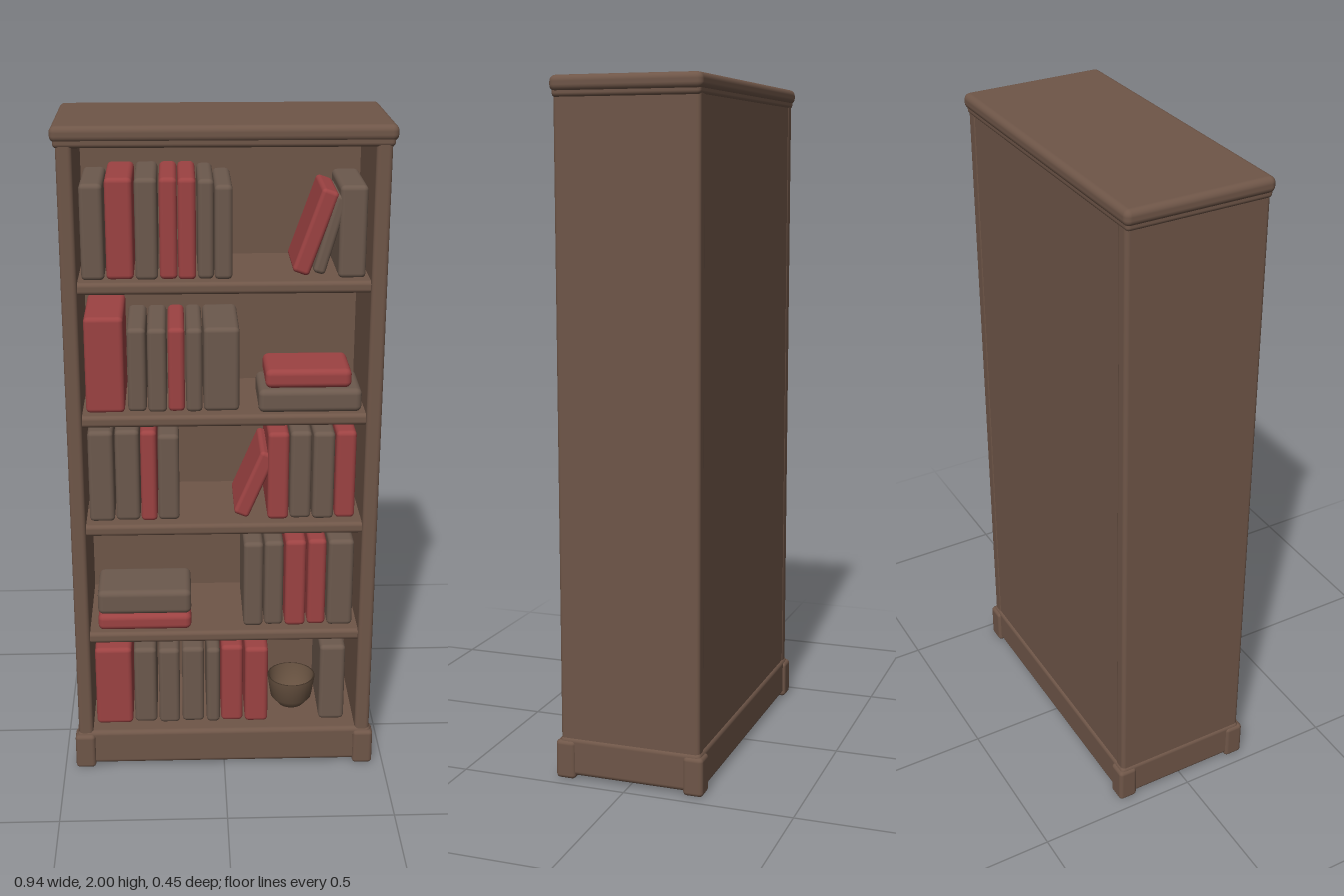
import * as THREE from 'three';
import { RoundedBoxGeometry } from 'three/addons/geometries/RoundedBoxGeometry.js';

export function createModel() {
  const wood = new THREE.MeshStandardMaterial({ color: 0x6f5648 });
  wood.name = 'brown wood';
  const brown = new THREE.MeshStandardMaterial({ color: 0x6c594d });
  brown.name = 'grey-brown cover';
  const red = new THREE.MeshStandardMaterial({ color: 0x9c4242 });
  red.name = 'red cover';
  const bowlMat = new THREE.MeshStandardMaterial({ color: 0x65503f, side: THREE.DoubleSide });
  bowlMat.name = 'bowl wood';

  const model = new THREE.Group();
  model.name = 'bookcase';

  // Soft-edged box given by its extents on each axis
  function block(parent, name, mat, [x0, x1], [y0, y1], [z0, z1], r = 0.01) {
    const w = x1 - x0, h = y1 - y0, d = z1 - z0;
    const radius = Math.min(r, Math.min(w, h, d) * 0.45);
    const mesh = new THREE.Mesh(new RoundedBoxGeometry(w, h, d, 3, radius), mat);
    mesh.position.set((x0 + x1) / 2, (y0 + y1) / 2, (z0 + z1) / 2);
    mesh.name = name;
    parent.add(mesh);
    return mesh;
  }

  // Carcass
  const carcass = new THREE.Group();
  carcass.name = 'carcass';
  model.add(carcass);
  for (const s of [-1, 1]) {
    const xs = s < 0 ? [-0.455, -0.41] : [0.41, 0.455];
    block(carcass, s < 0 ? 'rightSide' : 'leftSide', wood, xs, [0.02, 1.97], [-0.212, 0.212], 0.012);
  }
  block(carcass, 'backPanel', wood, [-0.44, 0.44], [0.03, 1.97], [-0.21, -0.13]);
  block(carcass, 'topMoulding', wood, [-0.462, 0.462], [1.94, 1.975], [-0.214, 0.214], 0.012);
  block(carcass, 'topBoard', wood, [-0.47, 0.47], [1.955, 2], [-0.221, 0.219], 0.018);

  // Plinth with slightly proud corner blocks
  block(carcass, 'plinth', wood, [-0.46, 0.46], [0.01, 0.125], [-0.217, 0.215], 0.014);
  for (const x of [-0.435, 0.435]) {
    for (const z of [-0.195, 0.195]) {
      block(carcass, 'cornerBlock', wood, [x - 0.031, x + 0.031], [0, 0.115], [z - 0.03, z + 0.03], 0.012);
    }
  }

  // Shelves
  for (const y of [0.43, 0.79, 1.135, 1.53]) {
    block(carcass, 'shelf', wood, [-0.42, 0.42], [y, y + 0.035], [-0.15, 0.2], 0.012);
  }

  // Upright books: shelf height, then [left, right, top, material]
  const books = new THREE.Group();
  books.name = 'books';
  model.add(books);
  const rows = [
    [1.562, [[-0.4, -0.335, 1.835, brown], [-0.33, -0.253, 1.85, red], [-0.248, -0.185, 1.85, brown],
      [-0.18, -0.13, 1.85, red], [-0.128, -0.078, 1.85, red], [-0.073, -0.028, 1.845, brown],
      [-0.026, 0.024, 1.83, brown], [0.322, 0.4, 1.825, brown]]],
    [1.167, [[-0.4, -0.287, 1.455, red], [-0.278, -0.224, 1.42, brown], [-0.22, -0.165, 1.42, brown],
      [-0.161, -0.113, 1.42, red], [-0.109, -0.062, 1.42, brown], [-0.058, 0.045, 1.42, brown]]],
    [0.822, [[-0.4, -0.325, 1.11, brown], [-0.321, -0.249, 1.11, brown], [-0.246, -0.198, 1.11, red],
      [-0.195, -0.132, 1.095, brown], [0.13, 0.193, 1.1, red], [0.197, 0.26, 1.1, brown],
      [0.264, 0.328, 1.1, brown], [0.332, 0.392, 1.1, red]]],
    [0.462, [[0.06, 0.12, 0.745, brown], [0.124, 0.182, 0.745, brown], [0.187, 0.25, 0.75, red],
      [0.256, 0.312, 0.75, red], [0.317, 0.395, 0.75, brown]]],
    [0.122, [[-0.4, -0.286, 0.39, red], [-0.28, -0.21, 0.385, brown], [-0.203, -0.138, 0.385, brown],
      [-0.13, -0.062, 0.385, brown], [-0.054, -0.012, 0.385, brown], [-0.008, 0.06, 0.39, red],
      [0.066, 0.138, 0.385, red], [0.3, 0.38, 0.385, brown]]],
  ];
  for (const [y, row] of rows) {
    row.forEach(([x0, x1, top, mat], i) => {
      block(books, 'uprightBook', mat, [x0, x1], [y, top], [-0.1, 0.165 - (i % 2) * 0.006], 0.014);
    });
  }

  // Books lying flat
  block(books, 'flatBook', brown, [0.1, 0.4], [1.167, 1.238], [-0.01, 0.18], 0.018);
  block(books, 'flatBook', red, [0.12, 0.37], [1.238, 1.295], [-0.01, 0.17], 0.018);
  block(books, 'flatBook', red, [-0.385, -0.1], [0.462, 0.515], [0, 0.18], 0.018);
  block(books, 'flatBook', brown, [-0.385, -0.1], [0.513, 0.592], [0, 0.175], 0.018);

  // Leaning books: foot position, width, height, tilt
  for (const [x, y, w, h, tilt, mat] of [
    [0.215, 1.575, 0.05, 0.25, -0.34, red],
    [0.267, 1.575, 0.035, 0.23, -0.28, brown],
    [0.05, 0.832, 0.048, 0.215, -0.4, red],
  ]) {
    const pivot = new THREE.Group();
    pivot.name = 'leaningBook';
    pivot.position.set(x, y, 0);
    pivot.rotation.z = tilt;
    books.add(pivot);
    block(pivot, 'cover', mat, [-w / 2, w / 2], [0, h], [-0.06, 0.155], 0.012);
  }

  // Bowl on the lowest shelf
  const profile = [[0, 0], [0.04, 0], [0.065, 0.03], [0.076, 0.1], [0.07, 0.1], [0.058, 0.035], [0, 0.015]]
    .map(([x, y]) => new THREE.Vector2(x, y));
  const bowl = new THREE.Mesh(new THREE.LatheGeometry(profile, 32), bowlMat);
  bowl.name = 'bowl';
  bowl.position.set(0.22, 0.124, 0.05);
  model.add(bowl);

  return model;
}
